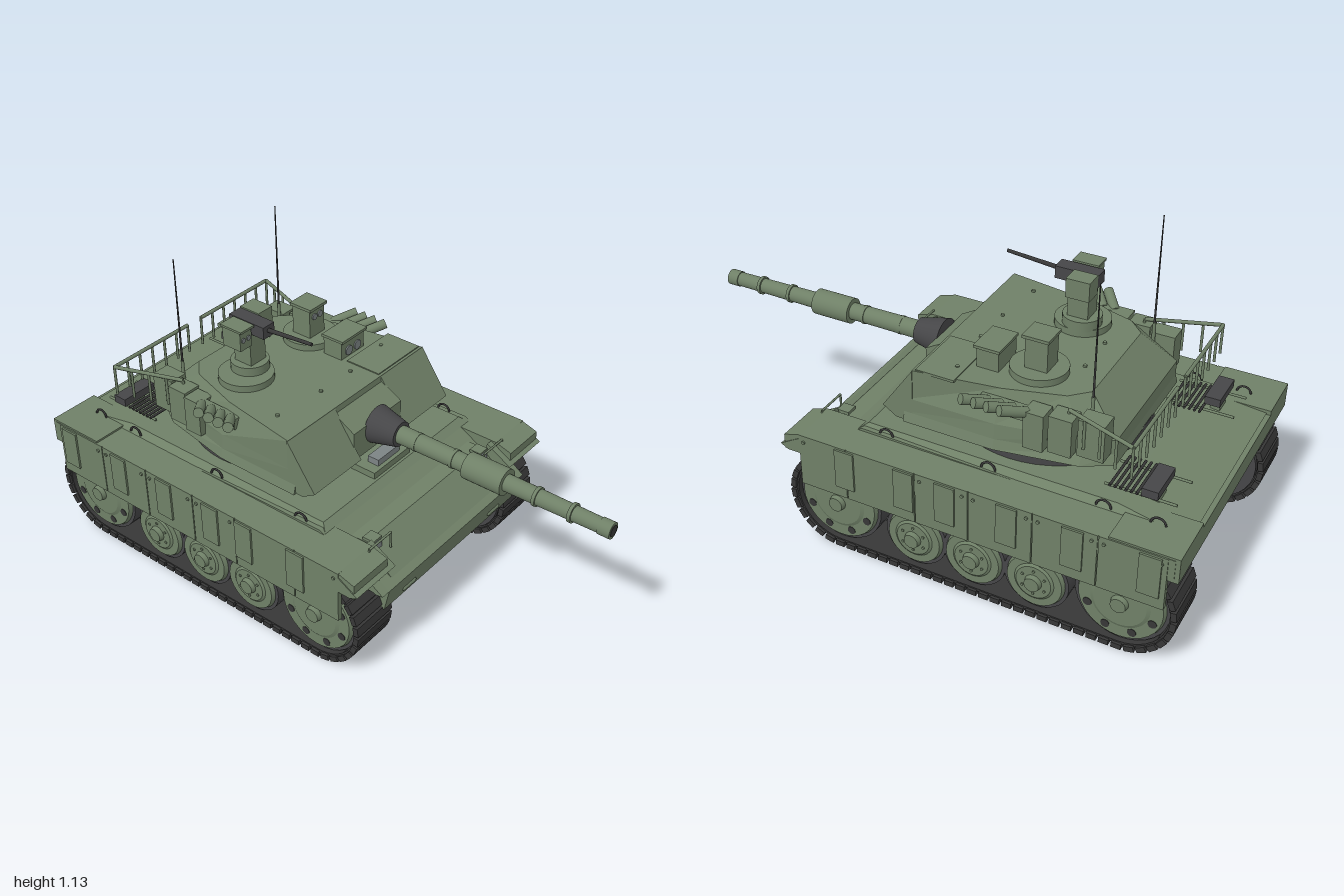
import * as THREE from 'three';

const mat = (name, color) => Object.assign(new THREE.MeshStandardMaterial({ color }), { name });

export function createModel() {
  const root = new THREE.Group();
  root.name = 'tank';
  const green = mat('armour green', 0x6f8067);
  const black = mat('track black', 0x373737);
  const grey = mat('dark grey', 0x464648);
  const glass = mat('lens grey', 0x7c8384);
  let parent = root;

  const group = (name) => {
    parent = new THREE.Group();
    parent.name = name;
    root.add(parent);
  };
  const add = (name, geo, m) => {
    const mesh = new THREE.Mesh(geo, m);
    mesh.name = name;
    parent.add(mesh);
    return mesh;
  };
  const box = (name, m, x0, x1, y0, y1, z0, z1) => {
    const g = new THREE.BoxGeometry(Math.abs(x1 - x0), y1 - y0, Math.abs(z1 - z0));
    add(name, g.translate((x0 + x1) / 2, (y0 + y1) / 2, (z0 + z1) / 2), m);
  };
  // straight round bar or cone from point a to point b
  const rod = (name, m, a, b, ra, rb = ra, seg = 24) => {
    const A = new THREE.Vector3(...a), B = new THREE.Vector3(...b), d = B.clone().sub(A);
    const mesh = add(name, new THREE.CylinderGeometry(rb, ra, d.length(), seg), m);
    mesh.position.copy(A).add(B).multiplyScalar(0.5);
    mesh.quaternion.setFromUnitVectors(new THREE.Vector3(0, 1, 0), d.normalize());
  };
  // side profile of [z, y] points swept across x
  const sweepX = (name, m, pts, x0, x1, hole) => {
    const s = new THREE.Shape(pts.map((p) => new THREE.Vector2(...p)));
    if (hole) s.holes.push(new THREE.Path(hole.map((p) => new THREE.Vector2(...p))));
    const lo = Math.min(x0, x1), hi = Math.max(x0, x1);
    const g = new THREE.ExtrudeGeometry(s, { depth: hi - lo, bevelEnabled: false });
    add(name, g.rotateY(-Math.PI / 2).translate(hi, 0, 0), m);
  };
  // faceted body from mirrored horizontal sections: [y, [[x, z], ...]] front to rear
  const loft = (name, m, sections) => {
    const loops = sections.map(([y, half]) => [
      ...half.map(([x, z]) => [x, y, z]),
      ...half.slice().reverse().map(([x, z]) => [-x, y, z]),
    ]);
    const v = [], n = loops[0].length, top = loops[loops.length - 1], bot = loops[0];
    for (let k = 0; k + 1 < loops.length; k++) for (let i = 0; i < n; i++) {
      const j = (i + 1) % n, a = loops[k][i], b = loops[k][j], c = loops[k + 1][j], d = loops[k + 1][i];
      v.push(...a, ...b, ...c, ...a, ...c, ...d);
    }
    for (let i = 1; i + 1 < n; i++) v.push(...top[0], ...top[i], ...top[i + 1], ...bot[0], ...bot[i + 1], ...bot[i]);
    const g = new THREE.BufferGeometry();
    g.setAttribute('position', new THREE.Float32BufferAttribute(v, 3));
    g.computeVertexNormals();
    add(name, g, m);
  };
  const both = (fn) => [1, -1].forEach(fn);

  // ---- hull ----
  group('hull');
  sweepX('lowerHull', green, [[0.42, 0.31], [0.405, 0.22], [0.36, 0.17], [-0.84, 0.17], [-0.95, 0.37], [0.3, 0.42]], -0.335, 0.335);
  sweepX('nosePlate', green, [[0.43, 0.31], [0.41, 0.22], [0.36, 0.22], [0.34, 0.33]], -0.38, 0.38);
  sweepX('glacis', green, [[0.43, 0.31], [0.17, 0.455], [-0.99, 0.435], [-0.99, 0.375], [0.3, 0.375], [0.4, 0.305]], -0.415, 0.415);
  loft('deck', green, [
    [0.44, [[0.415, 0.195], [0.415, -0.985]]],
    [0.465, [[0.385, 0.16], [0.385, -0.74]]],
  ]);
  box('rearBeam', green, -0.53, 0.53, 0.36, 0.435, -1, -0.94);
  both((s) => {
    sweepX('fender', green, [[0.34, 0.445], [0.405, 0.425], [0.405, 0.37], [-0.985, 0.37], [-0.985, 0.445]], s * 0.36, s * 0.532);
    sweepX('mudFlap', green, [[0.32, 0.443], [0.42, 0.385], [0.39, 0.37], [0.3, 0.37]], s * 0.335, s * 0.535);
    sweepX('sideFlap', green, [[0.34, 0.37], [0.43, 0.31], [0.34, 0.31]], s * 0.38, s * 0.415);
    box('rearCornerBox', green, s * 0.335, s * 0.53, 0.38, 0.452, -1, -0.77);
    // skirt plates with thin gaps, and raised panels over the joints
    const cuts = [0.345, 0.16, -0.1, -0.295, -0.52, -0.74, -0.965];
    for (let i = 0; i < 6; i++) {
      box('skirtPlate', green, s * 0.517, s * 0.535, 0.245, 0.445, cuts[i] - 0.002, cuts[i + 1] + 0.002);
      for (const z of [cuts[i] - 0.02, cuts[i + 1] + 0.02])
        rod('skirtBolt', green, [s * 0.53, 0.42, z], [s * 0.54, 0.42, z], 0.006, 0.006, 8);
    }
    for (const z of [0.165, -0.06, -0.212, -0.432, -0.657, -0.91])
      box('skirtPanel', green, s * 0.53, s * 0.542, 0.288, 0.438, z - 0.036, z + 0.036);
    // towing eye
    const hook = add('towEye', new THREE.CapsuleGeometry(0.01, 0.055, 4, 10).rotateZ(Math.PI / 2), green);
    hook.position.set(s * 0.25, 0.245, 0.412);
    // headlight and its guard
    box('headlight', green, s * 0.285, s * 0.33, 0.385, 0.43, 0.28, 0.325);
    box('headlightLens', glass, s * 0.292, s * 0.323, 0.392, 0.422, 0.325, 0.33);
    const guard = [[0.27, 0.385, 0.35], [0.27, 0.448, 0.35], [0.385, 0.448, 0.35], [0.385, 0.4, 0.35]];
    for (let i = 0; i < 3; i++) {
      const [a, b] = [guard[i], guard[i + 1]].map(([x, y, z]) => [s * x, y, z]);
      rod('headlightGuard', green, a, b, 0.004, 0.004, 8);
    }
    // lifting handles
    for (const z of [0.08, -0.3, -0.7, -0.88]) {
      const h = add('liftingHandle', new THREE.TorusGeometry(0.025, 0.004, 6, 10, Math.PI).rotateY(Math.PI / 2), black);
      h.position.set(s * 0.405, 0.45, z);
    }
    // engine grille and exhaust box
    for (let i = 0; i < 7; i++)
      rod('grilleBar', black, [s * 0.17, 0.485, -0.69 - i * 0.018], [s * 0.34, 0.485, -0.69 - i * 0.018], 0.005, 0.005, 6);
    for (const x of [0.2, 0.33]) rod('grilleRail', green, [s * x, 0.48, -0.67], [s * x, 0.48, -0.91], 0.005, 0.005, 6);
    box('exhaustBox', grey, s * 0.21, s * 0.355, 0.495, 0.525, -0.855, -0.8);
    box('exhaustFoot', green, s * 0.25, s * 0.31, 0.44, 0.495, -0.845, -0.81);
  });
  box('driverHatch', green, -0.1, 0.1, 0.46, 0.49, 0, 0.15);
  box('driverPeriscope', glass, -0.06, 0.06, 0.49, 0.515, 0.09, 0.135);

  // ---- running gear ----
  group('runningGear');
  const zf = 0.22, zr = -0.815, yc = 0.188;
  const loop = (r) => {
    const p = [];
    for (let i = 0; i <= 20; i++) p.push([zf + r * Math.cos(-Math.PI / 2 + i * Math.PI / 20), yc + r * Math.sin(-Math.PI / 2 + i * Math.PI / 20)]);
    for (let i = 0; i <= 20; i++) p.push([zr + r * Math.cos(Math.PI / 2 + i * Math.PI / 20), yc + r * Math.sin(Math.PI / 2 + i * Math.PI / 20)]);
    return p;
  };
  const R = 0.178, L = zf - zr, total = 2 * L + 2 * Math.PI * R, shoes = 74;
  both((s) => {
    sweepX('trackBelt', black, loop(0.174), s * 0.345, s * 0.505, loop(0.163));
    for (let i = 0; i < shoes; i++) {
      let d = (i / shoes) * total, z, y, a;
      const arc = Math.PI * R;
      if (d < L) [z, y, a] = [zr + d, yc - R, 0];
      else if ((d -= L) < arc) { a = d / R; z = zf + R * Math.sin(a); y = yc - R * Math.cos(a); }
      else if ((d -= arc) < L) [z, y, a] = [zf - d, yc + R, Math.PI];
      else { a = Math.PI + (d - L) / R; z = zr + R * Math.sin(a); y = yc - R * Math.cos(a); }
      const shoe = add('trackShoe', new THREE.BoxGeometry(0.18, 0.02, 0.034), black);
      shoe.position.set(s * 0.425, y, z);
      shoe.rotation.x = -a;
    }
    // road wheels
    for (const z of [-0.075, -0.295, -0.52, 0.22, -0.815]) {
      const end = z === 0.22 || z === -0.815, r = end ? 0.148 : 0.103, y = end ? yc : 0.145;
      const disc = (n, m, x0, x1, q, q1) => rod(n, m, [s * x0, y, z], [s * x1, y, z], q, q1 ?? q, 32);
      disc('wheelTyre', grey, 0.337, 0.488, r + 0.012);
      disc('wheelDisc', green, 0.488, 0.503, r, r - 0.006);
      disc('wheelDish', green, 0.503, 0.509, r * 0.68, r * 0.6);
      disc('wheelHub', green, 0.5, 0.526, 0.032, 0.026);
      const count = end ? 8 : 6;
      for (let i = 0; i < count; i++) {
        const t = (i + 0.5) / count * Math.PI * 2, q = end ? r * 0.8 : 0.045;
        const cz = z + q * Math.cos(t), cy = y + q * Math.sin(t);
        if (end) rod('wheelHole', black, [s * 0.5, cy, cz], [s * 0.505, cy, cz], 0.015, 0.015, 14);
        else rod('wheelBolt', green, [s * 0.505, cy, cz], [s * 0.513, cy, cz], 0.005, 0.005, 8);
      }
    }
  });

  // ---- turret ----
  group('turret');
  rod('turretRing', grey, [0, 0.46, -0.34], [0, 0.515, -0.34], 0.342, 0.342, 48);
  loft('turretBody', green, [
    [0.51, [[0.38, 0.03], [0.38, -0.3], [0.33, -0.58], [0.27, -0.68]]],
    [0.545, [[0.37, 0.03], [0.37, -0.3], [0.31, -0.58], [0.26, -0.675]]],
    [0.6, [[0.37, 0.01], [0.365, -0.3], [0.31, -0.58], [0.26, -0.675]]],
    [0.71, [[0.367, 0], [0.32, -0.3], [0.26, -0.5], [0.2, -0.56]]],
  ]);
  sweepX('mantletBlock', green, [[-0.02, 0.7], [0.085, 0.64], [0.085, 0.53], [-0.02, 0.515]], -0.13, 0.13);
  both((s) => {
    sweepX('frontCheek', green, [[-0.002, 0.71], [0.112, 0.545], [0.06, 0.512], [-0.002, 0.512]], s * 0.125, s * 0.37);
    // stowage along the rear flank
    for (const [z0, z1, x] of [[-0.4, -0.47, 0.37], [-0.48, -0.56, 0.355], [-0.57, -0.66, 0.33]])
      box('sideStowage', green, s * (x - 0.07), s * x, 0.55, 0.685, z0, z1);
    // smoke launchers
    for (let i = 0; i < 4; i++) {
      const z = -0.24 - i * 0.045;
      rod('smokeLauncher', green, [s * 0.35, 0.672, z - 0.03], [s * 0.425, 0.703, z + 0.03], 0.018, 0.018, 16);
    }
    box('launcherBracket', green, s * 0.33, s * 0.365, 0.645, 0.685, -0.42, -0.24);
    // rear basket rail with hanging posts
    const p = [[0.31, -0.53], [0.4, -0.78], [0.035, -0.78]];
    [4, 6].forEach((n, k) => {
      const [a, b] = [p[k], p[k + 1]];
      rod('basketRail', green, [s * a[0], 0.698, a[1]], [s * b[0], 0.698, b[1]], 0.007, 0.007, 8);
      for (let i = 0; i <= n; i++) {
        const x = s * (a[0] + (b[0] - a[0]) * i / n), z = a[1] + (b[1] - a[1]) * i / n;
        rod('basketPost', green, [x, 0.585, z], [x, 0.698, z], 0.005, 0.005, 8);
      }
    });
    // aerials
    rod('aerialBase', green, [s * 0.255, 0.58, -0.585], [s * 0.255, 0.73, -0.585], 0.008, 0.006, 10);
    rod('aerial', black, [s * 0.255, 0.73, -0.585], [s * 0.255, 1.13, -0.585], 0.004, 0.002, 8);
    rod('cupolaRing', green, [s * 0.17, 0.7, -0.36], [s * 0.17, 0.735, -0.36], 0.098, 0.098, 40);
    for (const [x, z] of [[0.08, -0.1], [0.28, -0.12], [0.08, -0.48]])
      rod('roofBolt', green, [s * x, 0.705, z], [s * x, 0.717, z], 0.007, 0.007, 8);
  });
  box('roofPlate', green, 0.125, 0.36, 0.705, 0.714, -0.15, -0.01);

  // ---- main gun ----
  group('mainGun');
  const g = (n, m, z0, z1, r0, r1) => rod(n, m, [0, 0.613, z0], [0, 0.613, z1], r0, r1, 32);
  g('mantletCone', grey, 0.08, 0.185, 0.07, 0.046);
  g('rearBarrel', green, 0.18, 0.47, 0.033, 0.031);
  g('boreEvacuator', green, 0.46, 0.61, 0.047);
  g('frontBarrel', green, 0.6, 0.96, 0.03, 0.026);
  for (const z of [0.25, 0.4, 0.72, 0.85]) g('barrelBand', green, z, z + 0.012, 0.034);
  g('muzzle', green, 0.955, 0.998, 0.029);
  g('muzzleBore', black, 0.996, 1, 0.02);

  // ---- remote gun station on the right cupola ----
  group('gunStation');
  rod('stationBase', green, [-0.138, 0.73, -0.37], [-0.138, 0.768, -0.37], 0.068, 0.068, 32);
  box('stationColumn', green, -0.175, -0.1, 0.768, 0.89, -0.405, -0.33);
  box('ammoBox', green, -0.11, -0.042, 0.87, 0.94, -0.43, -0.345);
  box('machineGunBody', grey, -0.165, -0.11, 0.89, 0.935, -0.43, -0.275);
  rod('machineGunBarrel', black, [-0.138, 0.915, -0.28], [-0.138, 0.932, -0.085], 0.008, 0.006, 12);
  box('sightHead', green, -0.232, -0.176, 0.857, 0.93, -0.4, -0.32);
  box('sightLid', green, -0.237, -0.171, 0.93, 0.938, -0.405, -0.31);
  for (const x of [-0.217, -0.192]) rod('sightLens', glass, [x, 0.895, -0.322], [x, 0.895, -0.316], 0.009, 0.009, 16);

  // ---- sights on the left ----
  group('roofSights');
  box('commanderSight', green, 0.13, 0.21, 0.73, 0.845, -0.405, -0.325);
  box('commanderSightLid', green, 0.124, 0.217, 0.845, 0.856, -0.411, -0.316);
  for (const x of [0.155, 0.185]) rod('commanderLens', glass, [x, 0.815, -0.327], [x, 0.815, -0.32], 0.012, 0.012, 20);
  box('gunnerSight', green, 0.117, 0.244, 0.7, 0.78, -0.25, -0.17);
  box('gunnerSightLid', green, 0.112, 0.249, 0.78, 0.79, -0.255, -0.16);
  for (const x of [0.157, 0.205]) rod('gunnerLens', glass, [x, 0.735, -0.172], [x, 0.735, -0.165], 0.018, 0.018, 24);

  return root;
}
